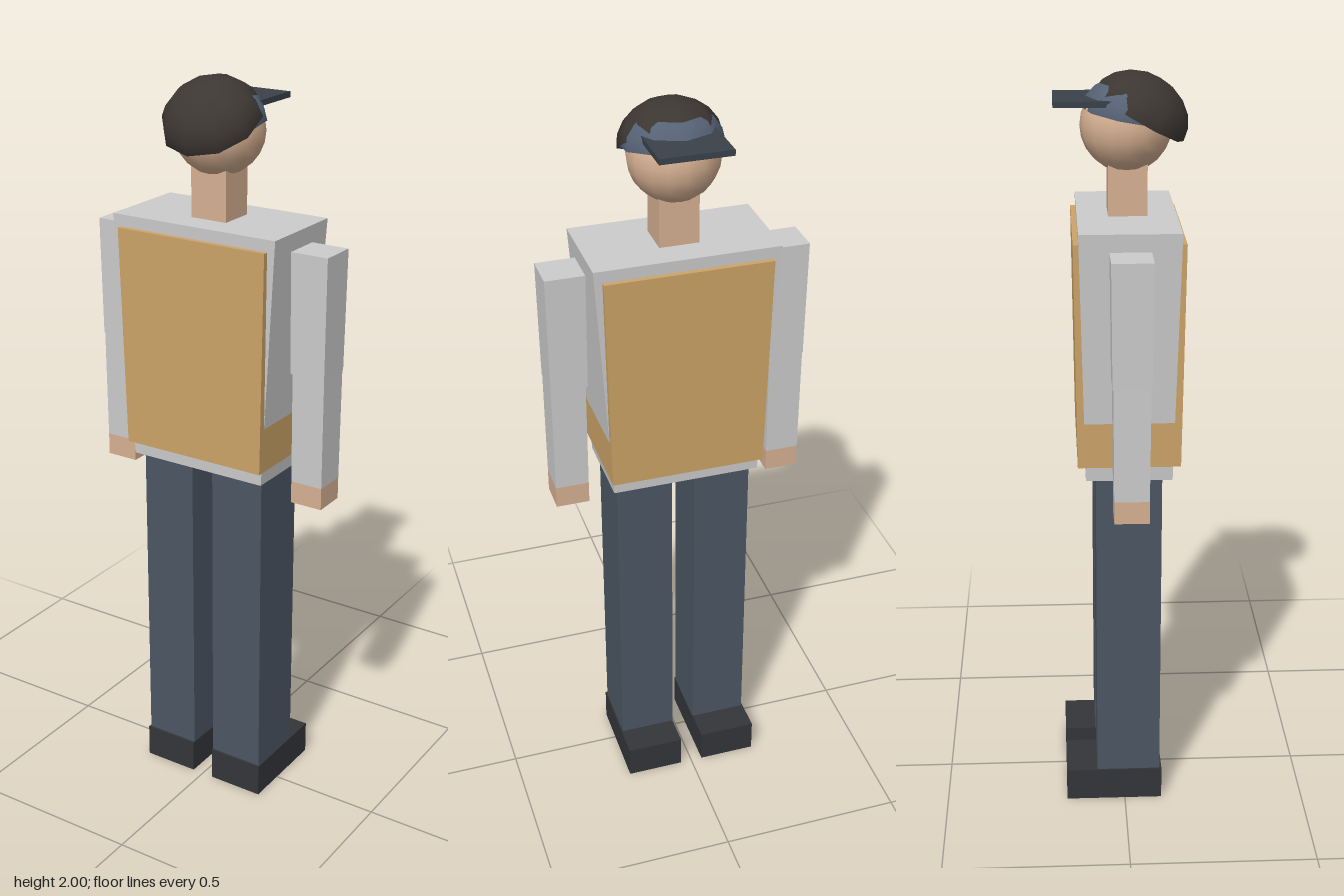
import * as THREE from 'three';

const mat = (color, side = THREE.FrontSide) => new THREE.MeshStandardMaterial({ color, side });
const GREY = mat(0xcccccc), SKIN = mat(0xd6b092), VEST = mat(0xcda468);
const TROUSERS = mat(0x4c5663), SHOE = mat(0x33353a), BILL = mat(0x3a414a);
const HAIR = mat(0x3d3733, THREE.DoubleSide), CAP = mat(0x566275, THREE.DoubleSide);

// Box between two heights whose half width and half depth taper from bottom to top
function taperedBox(name, material, [x, z], y0, y1, bottom, top) {
  const geo = new THREE.BoxGeometry(2, 1, 2);
  const p = geo.attributes.position;
  for (let i = 0; i < p.count; i++) {
    const [w, d] = p.getY(i) > 0 ? top : bottom;
    p.setXYZ(i, x + p.getX(i) * w, p.getY(i) > 0 ? y1 : y0, z + p.getZ(i) * d);
  }
  geo.computeVertexNormals();
  const mesh = new THREE.Mesh(geo, material);
  mesh.name = name;
  return mesh;
}

const block = (name, material, centre, y0, y1, half) =>
  taperedBox(name, material, centre, y0, y1, half, half);

// Squashed half sphere, tipped so that its back edge drops
function dome(name, material, radius, height, y, z, tilt) {
  const geo = new THREE.SphereGeometry(1, 10, 5, 0, Math.PI * 2, 0, Math.PI / 2);
  geo.rotateY(-Math.PI / 2);
  geo.scale(radius, height, radius);
  const mesh = new THREE.Mesh(geo, material);
  mesh.name = name;
  mesh.rotation.x = tilt;
  mesh.position.set(0, y, z);
  return mesh;
}

export function createModel() {
  const model = new THREE.Group();
  model.name = 'figure';

  // Torso with a vest that stands proud at front, back and lower sides
  model.add(taperedBox('torso', GREY, [0, 0.01], 0.98, 1.645, [0.2, 0.113], [0.243, 0.128]));
  model.add(taperedBox('vest', VEST, [0, 0.01], 1.02, 1.613, [0.208, 0.134], [0.22, 0.141]));

  // Legs, shoes and arms on both sides
  for (const [side, s] of [['left', 1], ['right', -1]]) {
    const limb = (part) => side + part;
    model.add(block(limb('Leg'), TROUSERS, [s * 0.109, 0.01], 0.09, 0.98, [0.077, 0.087]));
    model.add(block(limb('Shoe'), SHOE, [s * 0.111, -0.03], 0, 0.093, [0.079, 0.133]));
    model.add(taperedBox(limb('UpperArm'), GREY, [s * 0.295, 0.01], 1.28, 1.6, [0.049, 0.049], [0.052, 0.052]));
    model.add(taperedBox(limb('Forearm'), GREY, [s * 0.297, 0.01], 0.98, 1.28, [0.045, 0.045], [0.046, 0.047]));
    model.add(block(limb('Hand'), SKIN, [s * 0.297, 0.01], 0.92, 0.98, [0.045, 0.045]));
  }

  // Neck and head
  model.add(block('neck', SKIN, [0, 0.012], 1.64, 1.78, [0.052, 0.05]));
  const head = new THREE.Mesh(new THREE.SphereGeometry(0.118, 16, 12), SKIN);
  head.name = 'head';
  head.position.set(0, 1.868, 0.01);
  model.add(head);

  // Hair at the back of the head, cap over the front, flat bill
  model.add(dome('hair', HAIR, 0.131, 0.107, 1.89, 0.042, Math.PI / 6));
  model.add(dome('cap', CAP, 0.13, 0.1, 1.89, 0.025, 0.17));
  model.add(block('capBill', BILL, [0, -0.0875], 1.925, 1.94, [0.093, 0.0875]));

  return model;
}
